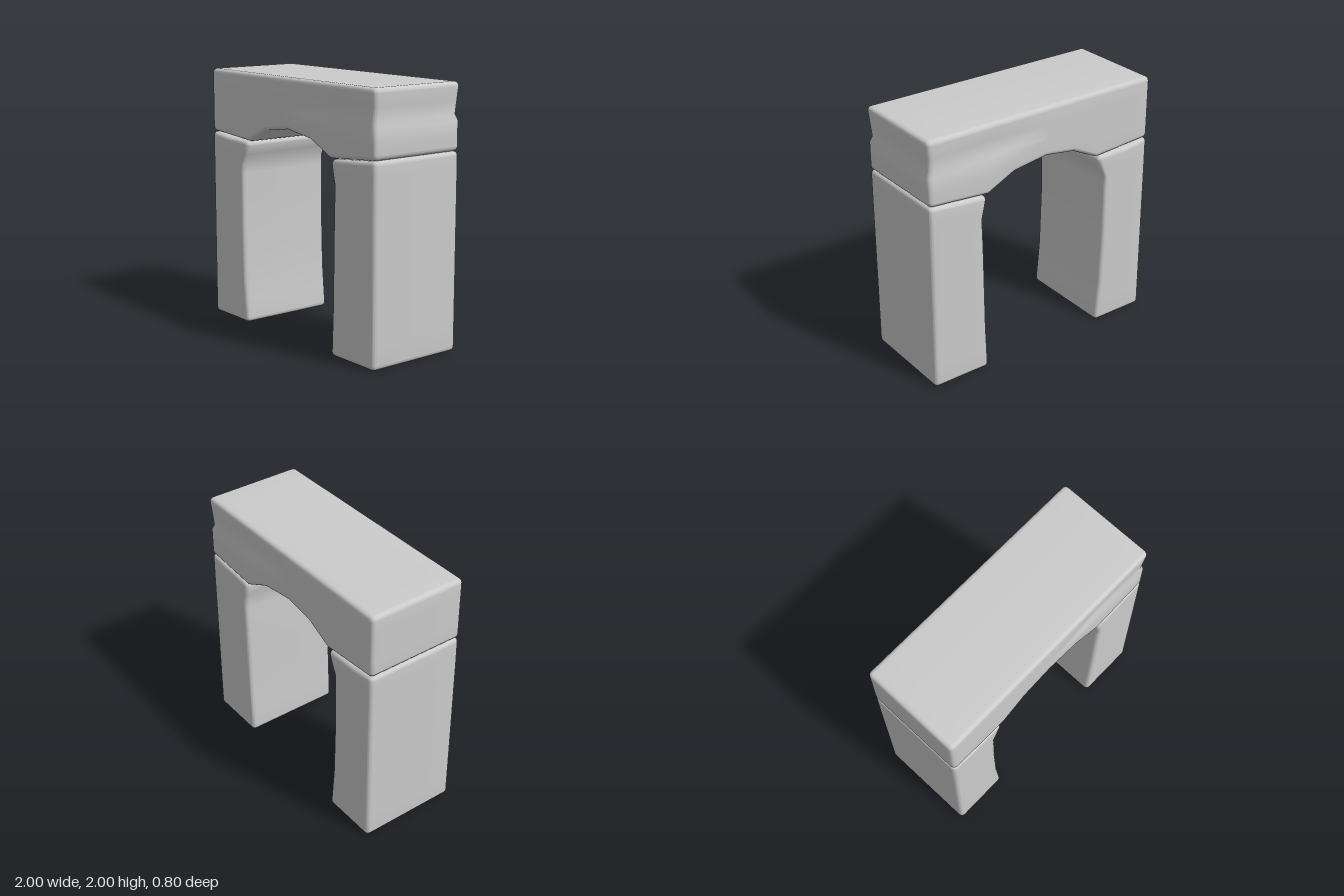
import * as THREE from 'three';
import { toCreasedNormals } from 'three/addons/utils/BufferGeometryUtils.js';

const R = 0.035; // edge rounding
const DEPTH = 0.4; // half depth in z
const material = new THREE.MeshStandardMaterial({ color: 0xcccccc });

// Piecewise-linear curve through [input, output] knots
function curve(knots, v) {
  if (v <= knots[0][0]) return knots[0][1];
  for (let i = 1; i < knots.length; i++) {
    const [a, fa] = knots[i - 1], [b, fb] = knots[i];
    if (v <= b) return fa + (fb - fa) * (v - a) / (b - a);
  }
  return knots[knots.length - 1][1];
}

// Grid stops for one axis, packed into the rounded edges
function stops(min, max, inner = []) {
  const k = [0, 0.32 * R, 0.586 * R, 0.81 * R, R];
  return [...k.map(d => min + d), ...inner, ...k.map(d => max - d).reverse()];
}

// Rounded stone block on a chosen grid, bent into shape by warp(point)
function stone(name, xs, ys, zs, warp) {
  const axes = [xs, ys, zs];
  const geo = new THREE.BoxGeometry(1, 1, 1, xs.length - 1, ys.length - 1, zs.length - 1);
  const pos = geo.attributes.position;
  const p = new THREE.Vector3(), core = new THREE.Vector3();
  for (let i = 0; i < pos.count; i++) {
    p.fromBufferAttribute(pos, i);
    axes.forEach((list, a) => {
      const v = list[Math.round((p.getComponent(a) + 0.5) * (list.length - 1))];
      p.setComponent(a, v);
      core.setComponent(a, THREE.MathUtils.clamp(v, list[0] + R, list[list.length - 1] - R));
    });
    p.sub(core).normalize().multiplyScalar(R).add(core);
    warp(p);
    pos.setXYZ(i, p.x, p.y, p.z);
  }
  geo.deleteAttribute('uv');
  geo.deleteAttribute('normal');
  const mesh = new THREE.Mesh(toCreasedNormals(geo, 0.6), material);
  mesh.name = name;
  return mesh;
}

// Pillar: straight outer face, worn inner face, sloping top
function pillar(name, side, inner, top) {
  const height = 1.5;
  const xs = side > 0 ? stops(0.5, 1, [0.65, 0.8]) : stops(-1, -0.5, [-0.8, -0.65]);
  const ys = stops(0, height, [0.18, 0.35, 0.55, 0.8, 1.05, 1.22, 1.3, 1.39]);
  return stone(name, xs, ys, stops(-DEPTH, DEPTH, [0]), p => {
    const outward = Math.abs(p.x);
    const edge = curve(inner, p.y);
    const drop = curve(top, outward) - height;
    p.x = side * (1 - (1 - outward) * (1 - edge) / 0.5);
    p.y += drop * THREE.MathUtils.clamp((p.y - 1) / 0.45, 0, 1);
  });
}

// Lintel: arched underside and a crack running round its left end
function lintel() {
  const under = [[-1, 1.503], [-0.8, 1.488], [-0.5, 1.468], [-0.28, 1.575], [-0.02, 1.612],
    [0.27, 1.57], [0.5, 1.46], [0.8, 1.485], [1, 1.5]];
  const crackLow = [[-1, 1.73], [-0.2, 1.74], [0, 1.749], [0.5, 1.745], [0.65, 1.736], [1, 1.72]];
  const crackHigh = [[-1, 1.77], [-0.2, 1.76], [0, 1.751], [0.5, 1.784], [1, 1.765]];
  const crackDepth = [[0, 0], [0.27, 0.012], [0.5, 0.018], [1, 0.013]];
  const taper = [[1.72, 0], [1.765, 1], [2 - R, 0]];
  const xs = stops(-1, 1, [-0.8, -0.53, -0.5, -0.46, -0.28, -0.2, -0.02, 0, 0.27, 0.46, 0.5, 0.53, 0.65, 0.8]);
  const ys = stops(1.5, 2, [1.62, 1.72, 1.765, 1.87]);
  return stone('lintel', xs, ys, stops(-DEPTH, DEPTH, [0]), p => {
    const { x, y } = p;
    const base = curve(under, x);
    const cut = curve(taper, y);
    p.y = curve([[1.5, base], [1.5 + R, base + R], [1.72, curve(crackLow, x)],
      [1.765, curve(crackHigh, x)], [2 - R, 2 - R], [2, 2]], y);
    p.z *= 1 - cut * curve(crackDepth, x) / DEPTH;
    p.x -= 0.018 * cut * curve([[0.8, 0], [1 - R, 1]], x);
  });
}

export function createModel() {
  const group = new THREE.Group();
  group.name = 'stoneArch';
  group.add(
    pillar('rightPillar', -1,
      [[0, 0.538], [0.35, 0.57], [0.8, 0.584], [1.3, 0.584], [1.45, 0.518], [1.5, 0.515]],
      [[0.5, 1.464], [0.8, 1.475], [1, 1.5]]),
    pillar('leftPillar', 1,
      [[0, 0.515], [0.35, 0.53], [1.05, 0.542], [1.3, 0.55], [1.45, 0.516], [1.5, 0.515]],
      [[0.5, 1.457], [0.8, 1.482], [1, 1.5]]),
    lintel(),
  );
  return group;
}
